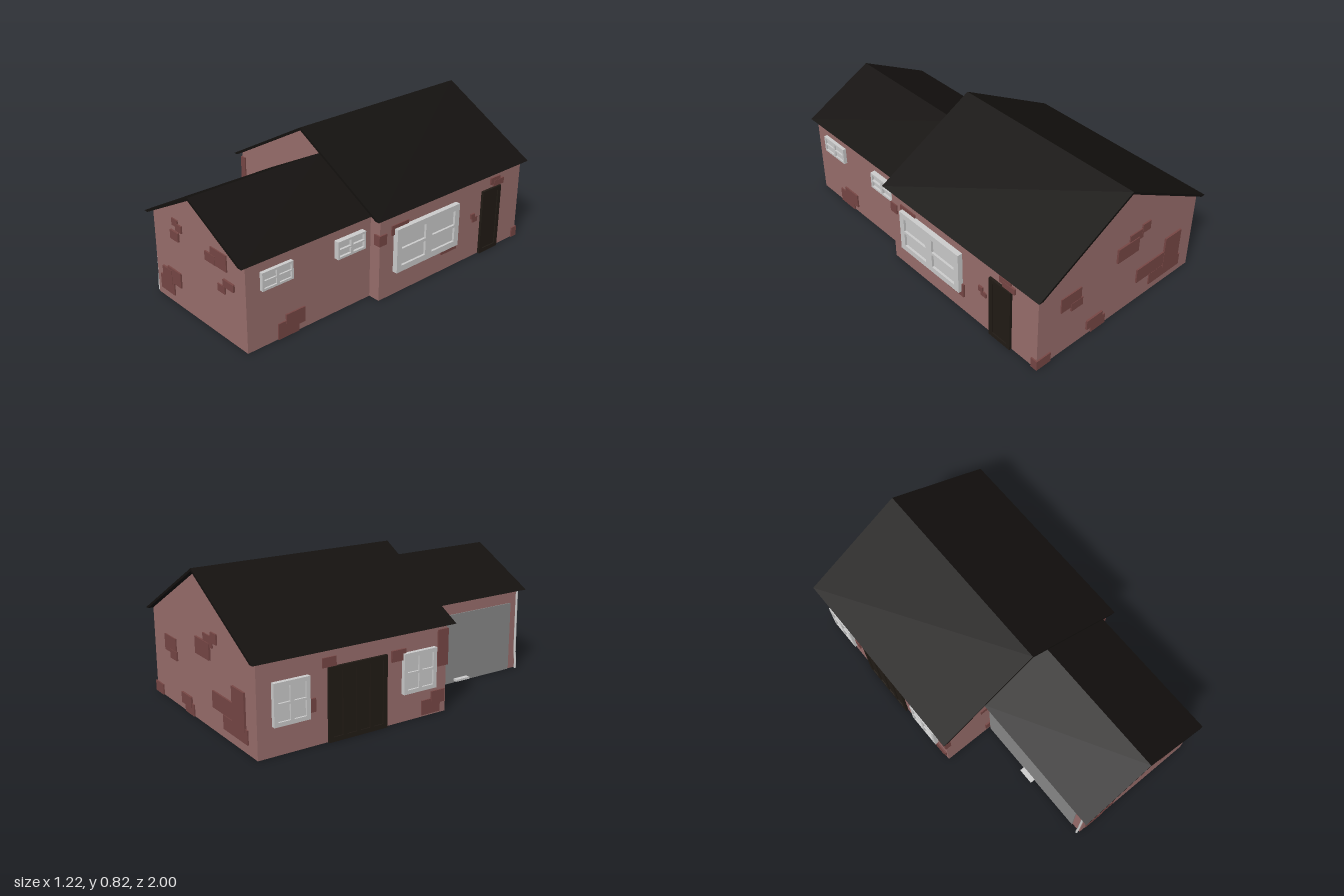
import * as THREE from 'three';

const mat = (color) => new THREE.MeshStandardMaterial({ color, flatShading: true });
const wallMat = mat(0x996e6c), brickMat = mat(0x774745), roofMat = mat(0x14110f);
const doorMat = mat(0x211b15), greyMat = mat(0xcccccc), garageMat = mat(0x888888);

function add(parent, name, geometry, material, x = 0, y = 0, z = 0) {
  const mesh = new THREE.Mesh(geometry, material);
  mesh.name = name;
  mesh.position.set(x, y, z);
  parent.add(mesh);
  return mesh;
}

// Box given by its lower and upper limits
function block(parent, name, material, x0, x1, y0, y1, z0, z1) {
  return add(parent, name, new THREE.BoxGeometry(x1 - x0, y1 - y0, z1 - z0), material,
    (x0 + x1) / 2, (y0 + y1) / 2, (z0 + z1) / 2);
}

// Outline in x,y drawn out along z
function prism(parent, name, material, points, z0, z1) {
  const shape = new THREE.Shape(points.map(([x, y]) => new THREE.Vector2(x, y)));
  const geometry = new THREE.ExtrudeGeometry(shape, { depth: z1 - z0, bevelEnabled: false });
  return add(parent, name, geometry, material, 0, 0, z0);
}

// Flat frame with a grid of openings, standing on the wall plane
function frame(parent, name, material, u0, u1, y0, y1, depth, cols, rows, rim, bar) {
  const shape = new THREE.Shape([[u0, y0], [u1, y0], [u1, y1], [u0, y1]].map((p) => new THREE.Vector2(...p)));
  const w = (u1 - u0 - 2 * rim - (cols - 1) * bar[0]) / cols;
  const h = (y1 - y0 - 2 * rim - (rows - 1) * bar[1]) / rows;
  for (let i = 0; i < cols; i++) {
    for (let j = 0; j < rows; j++) {
      const a = u0 + rim + i * (w + bar[0]), b = y0 + rim + j * (h + bar[1]);
      shape.holes.push(new THREE.Path([[a, b], [a, b + h], [a + w, b + h], [a + w, b]].map((p) => new THREE.Vector2(...p))));
    }
  }
  add(parent, name, new THREE.ExtrudeGeometry(shape, { depth, bevelEnabled: false }), material);
}

function addWindow(wall, u0, u1, y0, y1, depth, rim, bar) {
  const group = new THREE.Group();
  group.name = 'window';
  frame(group, 'windowFrame', greyMat, u0, u1, y0, y1, depth, 2, 2, rim, bar);
  block(group, 'windowGlass', greyMat, u0 + rim / 2, u1 - rim / 2, y0 + rim / 2, y1 - rim / 2, 0, depth * 0.55);
  wall.add(group);
}

function addDoor(wall, u0, u1, height, leaves) {
  const group = new THREE.Group();
  group.name = 'door';
  frame(group, 'doorFrame', doorMat, u0, u1, 0, height, 0.015, leaves, 1, 0.025, [0.025, 0.025]);
  block(group, 'doorPanel', doorMat, u0 + 0.01, u1 - 0.01, 0.01, height - 0.01, 0, 0.009);
  wall.add(group);
}

// Bricks listed as [u0, u1, y0, y1], each a little prouder than the last
function addBricks(wall, list) {
  list.forEach(([u0, u1, y0, y1], i) =>
    block(wall, 'exposedBrick', brickMat, u0, u1, y0, y1, -0.01, 0.007 + (i % 3) * 0.002));
}

// Wall plane: local x runs along the wall, local z points outward
function wallPlane(parent, name, x, z, turn) {
  const group = new THREE.Group();
  group.name = name;
  group.position.set(x, 0, z);
  group.rotation.y = turn;
  parent.add(group);
  return group;
}

// Gabled body and its thin roof with level-cut eaves
function gabledBlock(parent, name, x0, x1, z0, z1, r0, r1, ridge, rz0, rz1) {
  const mid = (r0 + r1) / 2, eave = 0.483, t = 0.015;
  const slope = (ridge - eave) / (mid - r0);
  const under = (x) => ridge - t - Math.abs(x - mid) * slope;
  prism(parent, name + 'Walls', wallMat,
    [[x0, 0], [x1, 0], [x1, under(x1)], [mid, ridge - t], [x0, under(x0)]], z0, z1);
  const inset = t / slope;
  prism(parent, name + 'Roof', roofMat,
    [[r0, eave], [r0 + inset, eave], [mid, ridge - t], [r1 - inset, eave], [r1, eave], [mid, ridge]], rz0, rz1);
}

export function createModel() {
  const house = new THREE.Group();
  house.name = 'house';

  gabledBlock(house, 'main', -0.58, 0.58, -0.97, 0.16, -0.61, 0.61, 0.82, -1, 0.2);
  gabledBlock(house, 'wing', -0.27, 0.51, 0.15, 0.965, -0.3, 0.532, 0.7, 0.155, 1);

  // Left side of the main block (u = -z)
  const mainLeft = wallPlane(house, 'mainLeftWall', 0.58, 0, Math.PI / 2);
  addWindow(mainLeft, -0.06, 0.42, 0.14, 0.395, 0.03, 0.035, [0.05, 0.016]);
  addDoor(mainLeft, 0.635, 0.79, 0.39, 1);
  addBricks(mainLeft, [
    [-0.08, 0.045, 0.36, 0.415], [0.31, 0.435, 0.105, 0.19], [0.55, 0.58, 0.245, 0.275],
    [0.565, 0.605, 0.22, 0.25], [0.705, 0.785, 0.41, 0.45], [0.73, 0.815, 0.395, 0.43],
  ]);

  // Left side of the wing
  const wingLeft = wallPlane(house, 'wingLeftWall', 0.51, 0, Math.PI / 2);
  addWindow(wingLeft, -0.88, -0.69, 0.32, 0.42, 0.02, 0.012, [0.016, 0.008]);
  addWindow(wingLeft, -0.41, -0.22, 0.32, 0.42, 0.03, 0.012, [0.016, 0.008]);
  addBricks(wingLeft, [[-0.78, -0.65, 0, 0.09], [-0.73, -0.61, 0.04, 0.125]]);

  // Right side of the main block (u = z)
  const mainRight = wallPlane(house, 'mainRightWall', -0.58, 0, -Math.PI / 2);
  addWindow(mainRight, -0.89, -0.69, 0.155, 0.375, 0.024, 0.022, [0.02, 0.012]);
  addWindow(mainRight, -0.13, 0.08, 0.155, 0.375, 0.024, 0.022, [0.02, 0.012]);
  addDoor(mainRight, -0.58, -0.23, 0.39, 4);
  addBricks(mainRight, [
    [-0.61, -0.53, 0.39, 0.44], [-0.73, -0.65, 0.18, 0.25], [-0.2, -0.11, 0.34, 0.4],
    [0, 0.12, 0.01, 0.09], [0.06, 0.15, 0.06, 0.13],
  ]);

  // Garage door with its handle
  const wingRight = wallPlane(house, 'wingRightWall', -0.27, 0, -Math.PI / 2);
  block(wingRight, 'garageDoor', garageMat, 0.17, 0.905, 0, 0.41, -0.01, 0.006);
  block(wingRight, 'garageHandle', greyMat, 0.48, 0.575, 0.012, 0.024, 0, 0.034);

  // Drainpipe bending outward at its foot
  const path = new THREE.CatmullRomCurve3([
    [-0.272, 0.49], [-0.273, 0.35], [-0.275, 0.2], [-0.277, 0.1], [-0.285, 0.04], [-0.284, 0],
  ].map(([x, y]) => new THREE.Vector3(x, y, 0.955)));
  const pipe = mat(0xcccccc);
  pipe.flatShading = false;
  pipe.side = THREE.DoubleSide;
  add(house, 'drainpipe', new THREE.TubeGeometry(path, 20, 0.007, 8), pipe);

  addBricks(wallPlane(house, 'wingFrontWall', 0, 0.965, 0), [
    [-0.09, -0.04, 0.47, 0.51], [-0.055, -0.005, 0.45, 0.49], [-0.105, -0.035, 0.39, 0.44],
    [0.24, 0.37, 0.39, 0.48], [0.195, 0.28, 0.39, 0.44], [0.34, 0.425, 0.305, 0.345],
    [0.29, 0.35, 0.26, 0.3], [-0.16, -0.04, 0.12, 0.205], [-0.205, -0.12, 0.11, 0.19],
    [-0.235, -0.11, 0.045, 0.13],
  ]);
  addBricks(wallPlane(house, 'mainFrontWall', 0, 0.16, 0), [
    [-0.33, -0.275, 0.39, 0.43], [-0.305, -0.275, 0.05, 0.12],
  ]);

  // Rear gable bricks (u = -x)
  addBricks(wallPlane(house, 'rearWall', 0, -0.97, Math.PI), [
    [-0.43, -0.29, 0.285, 0.375], [-0.36, -0.28, 0.255, 0.305], [-0.037, 0.12, 0.37, 0.46],
    [0.05, 0.15, 0.44, 0.5], [0.14, 0.2, 0.47, 0.525], [-0.235, -0.12, 0.04, 0.1],
    [-0.2, -0.095, 0, 0.065], [0.135, 0.375, 0.13, 0.22], [0.35, 0.475, 0.11, 0.31],
    [0.245, 0.495, 0.05, 0.125],
  ]);

  // Corner bricks wrapping two walls
  block(house, 'cornerBrick', brickMat, -0.588, -0.55, 0.26, 0.46, 0.1, 0.168);
  block(house, 'cornerBrick', brickMat, 0.545, 0.587, 0.325, 0.385, 0.115, 0.169);
  block(house, 'cornerBrick', brickMat, 0.49, 0.588, 0, 0.06, -0.978, -0.935);

  return house;
}
